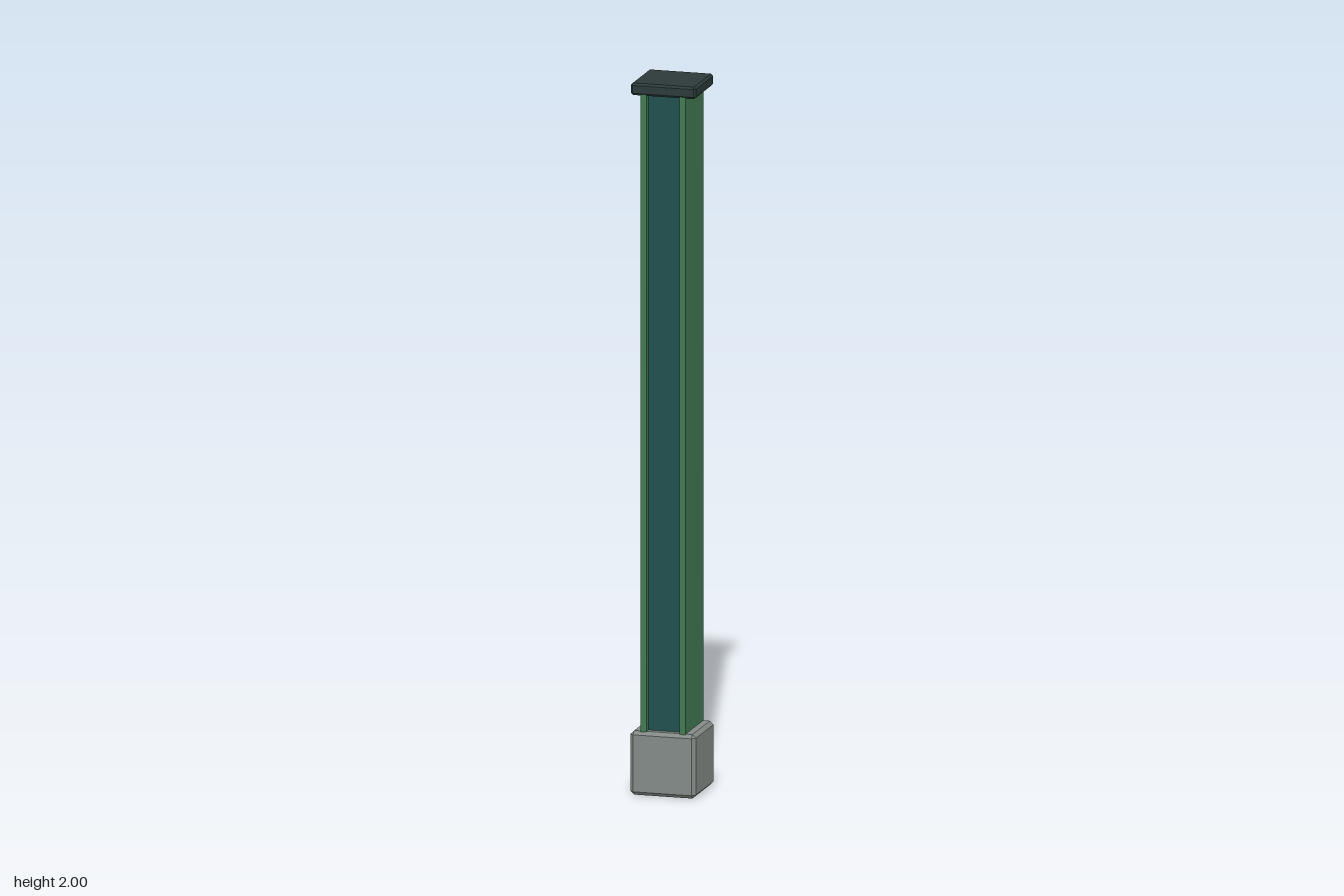
import * as THREE from 'three';
import { ConvexGeometry } from 'three/addons/geometries/ConvexGeometry.js';

const material = (name, color) => {
  const m = new THREE.MeshStandardMaterial({ color });
  m.name = name;
  return m;
};

// Box with every edge and corner cut flat by c
function chamferedBox(w, h, d, c) {
  const x = w / 2, y = h / 2, z = d / 2, points = [];
  for (const sx of [-1, 1]) for (const sy of [-1, 1]) for (const sz of [-1, 1]) {
    points.push(
      new THREE.Vector3(sx * x, sy * (y - c), sz * (z - c)),
      new THREE.Vector3(sx * (x - c), sy * y, sz * (z - c)),
      new THREE.Vector3(sx * (x - c), sy * (y - c), sz * z));
  }
  return new ConvexGeometry(points);
}

export function createModel() {
  const group = new THREE.Group();
  group.name = 'post';

  const stone = material('grey concrete', 0x848b87);
  const green = material('green paint', 0x427a52);
  const teal = material('dark teal', 0x20504f);
  const dark = material('dark slate', 0x2d3a3a);

  const add = (name, geometry, mat, x, y) => {
    const mesh = new THREE.Mesh(geometry, mat);
    mesh.name = name;
    mesh.position.set(x, y, 0);
    group.add(mesh);
  };

  // Concrete foot
  add('base', chamferedBox(0.186, 0.18, 0.188, 0.01), stone, 0, 0.09);

  // H-section shaft: recessed core between two side flanges
  const bottom = 0.16, top = 1.972, height = top - bottom, middle = (top + bottom) / 2;
  add('core', new THREE.BoxGeometry(0.096, height, 0.134), teal, 0, middle);
  for (const [side, name] of [[1, 'leftFlange'], [-1, 'rightFlange']]) {
    add(name, new THREE.BoxGeometry(0.017, height, 0.172), green, side * 0.0555, middle);
  }

  // Cap plate
  add('cap', chamferedBox(0.186, 0.034, 0.176, 0.006), dark, 0, 1.983);

  return group;
}
